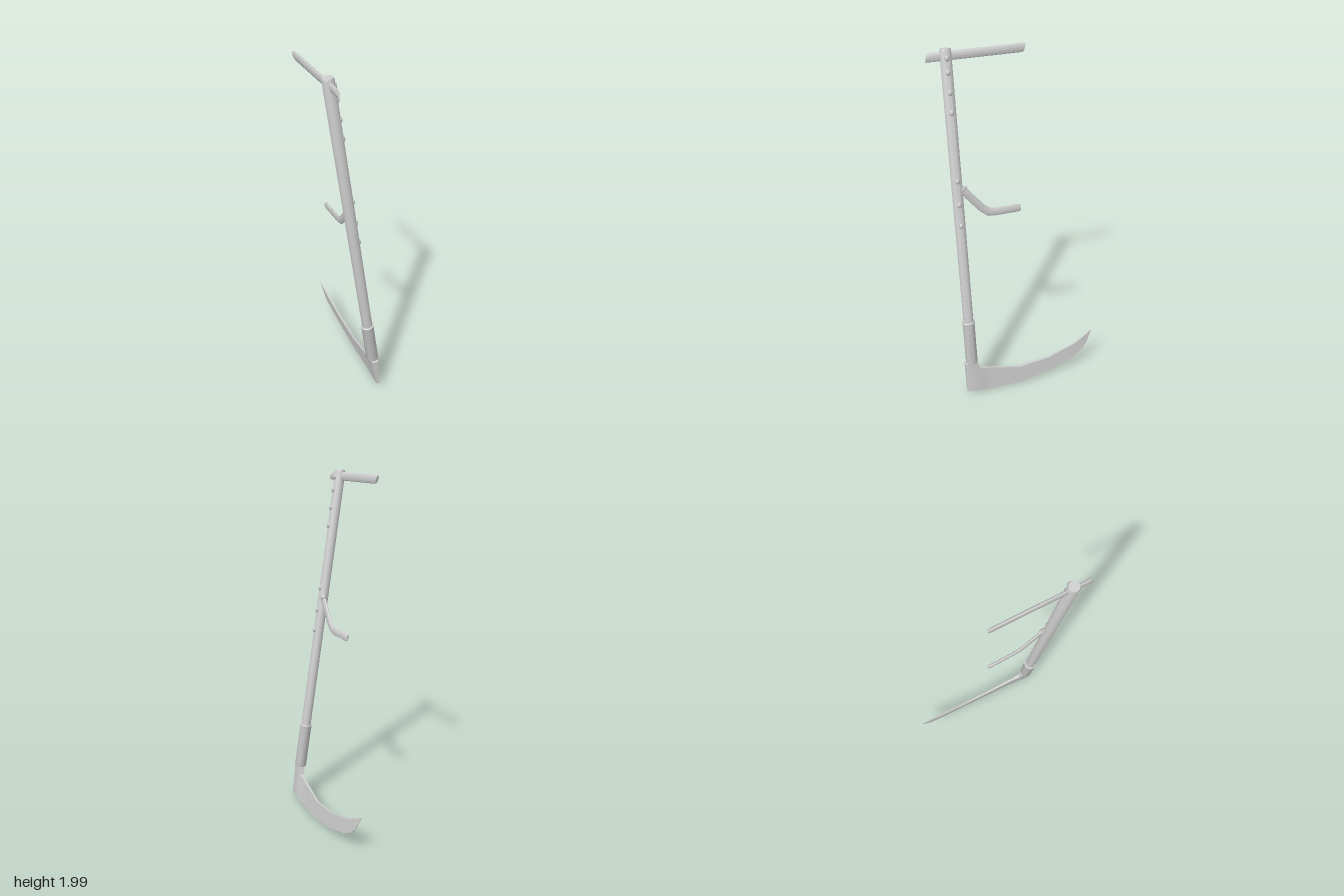
import * as THREE from 'three';
import { toCreasedNormals } from 'three/addons/utils/BufferGeometryUtils.js';

const LEAN = 0.156;      // sideways lean of the shaft per unit of height
const SHAFT_Z = 0.334;
const axisX = (y) => 0.132 + LEAN * (0.22 - y);
const material = new THREE.MeshStandardMaterial({ color: 0xcccccc });

function addMesh(parent, geometry, name) {
  const mesh = new THREE.Mesh(geometry, material);
  mesh.name = name;
  parent.add(mesh);
  return mesh;
}

// Skin a list of rings running from +z to -z; ring points go clockwise seen from +z
function loft(rings) {
  const n = rings[0].length;
  const index = [];
  for (let i = 0; i < rings.length - 1; i++) {
    for (let k = 0; k < n; k++) {
      const a = i * n + k, b = i * n + (k + 1) % n;
      index.push(a, b, b + n, a, b + n, a + n);
    }
  }
  const last = (rings.length - 1) * n;
  for (let k = 1; k < n - 1; k++) {
    index.push(0, k + 1, k, last, last + k, last + k + 1);
  }
  const geometry = new THREE.BufferGeometry();
  geometry.setAttribute('position', new THREE.Float32BufferAttribute(rings.flat(2), 3));
  geometry.setIndex(index);
  return toCreasedNormals(geometry.toNonIndexed(), 0.6);
}

// Oval ring centred at x, y, z; (uy, uz) is the half-height direction
function ovalRing(x, y, z, halfWidth, uy, uz) {
  const ring = [];
  for (let k = 0; k < 12; k++) {
    const a = -k * Math.PI / 6;
    const s = Math.sin(a);
    ring.push([x + halfWidth * Math.cos(a) - LEAN * uy * s, y + uy * s, z + uz * s]);
  }
  return ring;
}

function createShaft() {
  const shaft = new THREE.Group();
  shaft.name = 'shaftAssembly';
  shaft.position.set(axisX(0.22), 0.22, SHAFT_Z);
  shaft.rotation.z = Math.atan(LEAN);
  const lathe = (points) => toCreasedNormals(
    new THREE.LatheGeometry(points.map(([r, y]) => new THREE.Vector2(r, y)), 14), 0.6);

  // Pole with a slightly bevelled top
  addMesh(shaft, lathe([[0, 0], [0.029, 0], [0.03, 1.785], [0.026, 1.796], [0, 1.796]]), 'pole');

  // Socket sleeve with a rolled rim
  addMesh(shaft, lathe([[0, -0.005], [0.032, -0.005], [0.035, 0.005], [0.035, 0.25],
    [0.037, 0.254], [0.037, 0.262], [0.033, 0.266], [0.028, 0.266]]), 'sleeve');

  // Pegs on the left side of the pole
  for (const y of [1.95, 1.88, 1.78, 1.68, 1.32, 1.19, 1.07]) {
    const peg = addMesh(shaft, new THREE.SphereGeometry(1, 10, 6), 'peg');
    peg.scale.set(0.009, 0.016, 0.013);
    peg.position.set(0.029, (y - 0.22) * Math.hypot(1, LEAN), 0);
  }
  return shaft;
}

export function createModel() {
  const model = new THREE.Group();
  model.name = 'scythe';
  model.add(createShaft());

  // Straight grip through the top, with slanted ends
  addMesh(model, loft([
    ovalRing(-0.135, 1.958, 0.433, 0.008, 0.02, -0.008),
    ovalRing(-0.136, 1.958, 0.42, 0.01, 0.023, -0.006),
    ovalRing(-0.157, 1.958, -0.07, 0.01, 0.023, -0.006),
    ovalRing(-0.158, 1.958, -0.085, 0.008, 0.02, -0.006),
  ]), 'topGrip');

  // Bent grip half way up
  addMesh(model, loft([
    ovalRing(-0.02, 1.285, 0.33, 0.009, 0.015, -0.017),
    ovalRing(-0.018, 1.255, 0.297, 0.009, 0.014, -0.016),
    ovalRing(-0.013, 1.145, 0.205, 0.009, 0.015, -0.016),
    ovalRing(-0.012, 1.117, 0.17, 0.009, 0.021, -0.009),
    ovalRing(-0.013, 1.109, 0.135, 0.009, 0.023, -0.002),
    ovalRing(-0.021, 1.105, -0.01, 0.009, 0.022, 0),
    ovalRing(-0.022, 1.105, -0.018, 0.007, 0.018, 0),
  ]), 'middleGrip');

  // Collar where the bent grip enters the pole
  const collar = addMesh(model, new THREE.CylinderGeometry(0.024, 0.024, 0.016, 12), 'gripCollar');
  collar.scale.x = 0.6;
  collar.position.set(-0.019, 1.268, 0.305);
  collar.rotation.x = Math.atan2(0.75, 1);

  // Blade and heel: [top z, top y, bottom z, bottom y, top half thickness, bottom half thickness]
  const stations = [
    [0.375, 0.213, 0.375, 0.035, 0.017, 0.009],
    [0.37, 0.217, 0.36, 0.028, 0.019, 0.011],
    [0.305, 0.217, 0.32, 0.024, 0.018, 0.01],
    [0.29, 0.172, 0.265, 0.018, 0.012, 0.008],
    [0.235, 0.155, 0.2, 0.013, 0.007, 0.005],
    [0.04, 0.11, 0.04, 0.006, 0.006, 0.004],
    [-0.15, 0.125, -0.15, 0.034, 0.006, 0.004],
    [-0.32, 0.17, -0.3, 0.076, 0.005, 0.003],
    [-0.385, 0.202, -0.38, 0.122, 0.004, 0.003],
    [-0.415, 0.219, -0.405, 0.155, 0.003, 0.002],
    [-0.44, 0.232, -0.439, 0.229, 0.001, 0.001],
  ];
  const bladeX = (y, z) => axisX(y) - 0.032 * Math.max(0, (0.3 - z) / 0.74) ** 2;
  addMesh(model, loft(stations.map(([zt, yt, zb, yb, t, b]) => {
    const xt = bladeX(yt, zt), xb = bladeX(yb, zb);
    return [[xt - t, yt, zt], [xt + t, yt, zt], [xb + b, yb, zb], [xb - b, yb, zb]];
  })), 'blade');

  return model;
}
